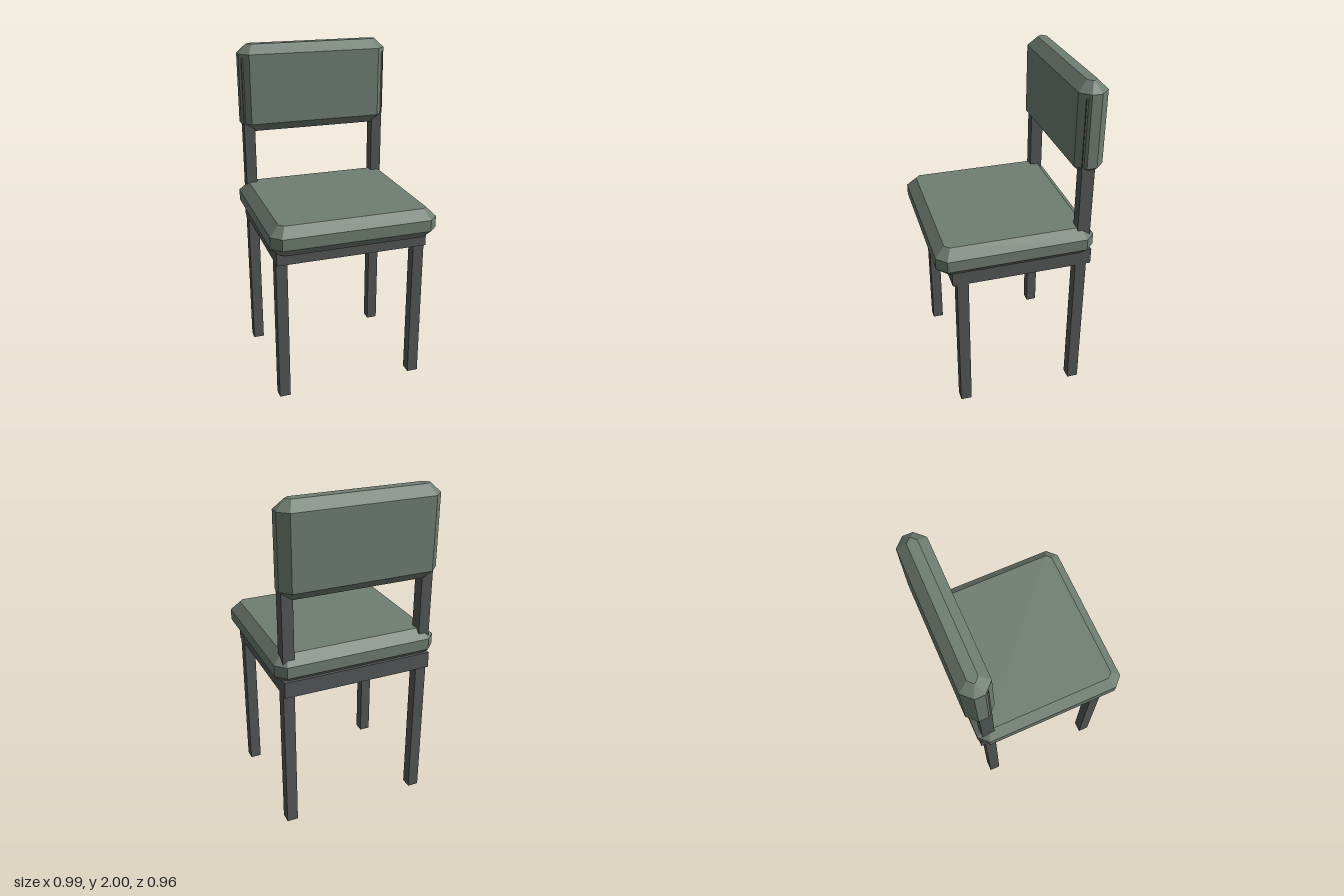
import * as THREE from 'three';
import { ConvexGeometry } from 'three/addons/geometries/ConvexGeometry.js';

const upholstery = new THREE.MeshStandardMaterial({ color: 0x6f7d72 });
upholstery.name = 'sage upholstery';
const frame = new THREE.MeshStandardMaterial({ color: 0x545757 });
frame.name = 'dark grey frame';

// Corner points of a rectangle with cut corners, at height y
function octagon(halfX, halfZ, cut, y, zc) {
  const points = [];
  for (const sx of [-1, 1]) {
    for (const sz of [-1, 1]) {
      points.push(new THREE.Vector3(sx * halfX, y, zc + sz * (halfZ - cut)));
      points.push(new THREE.Vector3(sx * (halfX - cut), y, zc + sz * halfZ));
    }
  }
  return points;
}

// Faceted cushion: full-size band with smaller octagons above and below
function cushion(name, halfX, halfZ, y0, y1, zc, bevel) {
  const inset = [halfX - bevel, halfZ - bevel, bevel * 0.48];
  const geometry = new ConvexGeometry([
    ...octagon(...inset, y0, zc),
    ...octagon(halfX, halfZ, bevel, y0 + bevel, zc),
    ...octagon(halfX, halfZ, bevel, y1 - bevel, zc),
    ...octagon(...inset, y1, zc),
  ]);
  const mesh = new THREE.Mesh(geometry, upholstery);
  mesh.name = name;
  return mesh;
}

// Frame bar given by its extents
function bar(name, x0, x1, y0, y1, z0, z1) {
  const mesh = new THREE.Mesh(new THREE.BoxGeometry(x1 - x0, y1 - y0, z1 - z0), frame);
  mesh.position.set((x0 + x1) / 2, (y0 + y1) / 2, (z0 + z1) / 2);
  mesh.name = name;
  return mesh;
}

export function createModel() {
  const chair = new THREE.Group();
  chair.name = 'chair';

  // Cushions
  chair.add(cushion('seat', 0.497, 0.464, 0.96, 1.14, 0.014, 0.056));
  chair.add(cushion('backrest', 0.468, 0.084, 1.467, 2.0, -0.398, 0.055));

  // Seat base
  chair.add(bar('apron', -0.455, 0.455, 0.89, 0.987, -0.44, 0.39));

  // Legs and backrest posts, mirrored left and right
  for (const [side, s] of [['left', 1], ['right', -1]]) {
    const x0 = s > 0 ? 0.388 : -0.455;
    const x1 = x0 + 0.067;
    chair.add(bar(side + 'FrontLeg', x0, x1, 0, 0.9, 0.298, 0.365));
    chair.add(bar(side + 'BackLeg', x0, x1, 0, 0.9, -0.413, -0.346));
    chair.add(bar(side + 'BackPost', x0, x1, 1.06, 1.92, -0.422, -0.346));
  }
  return chair;
}
